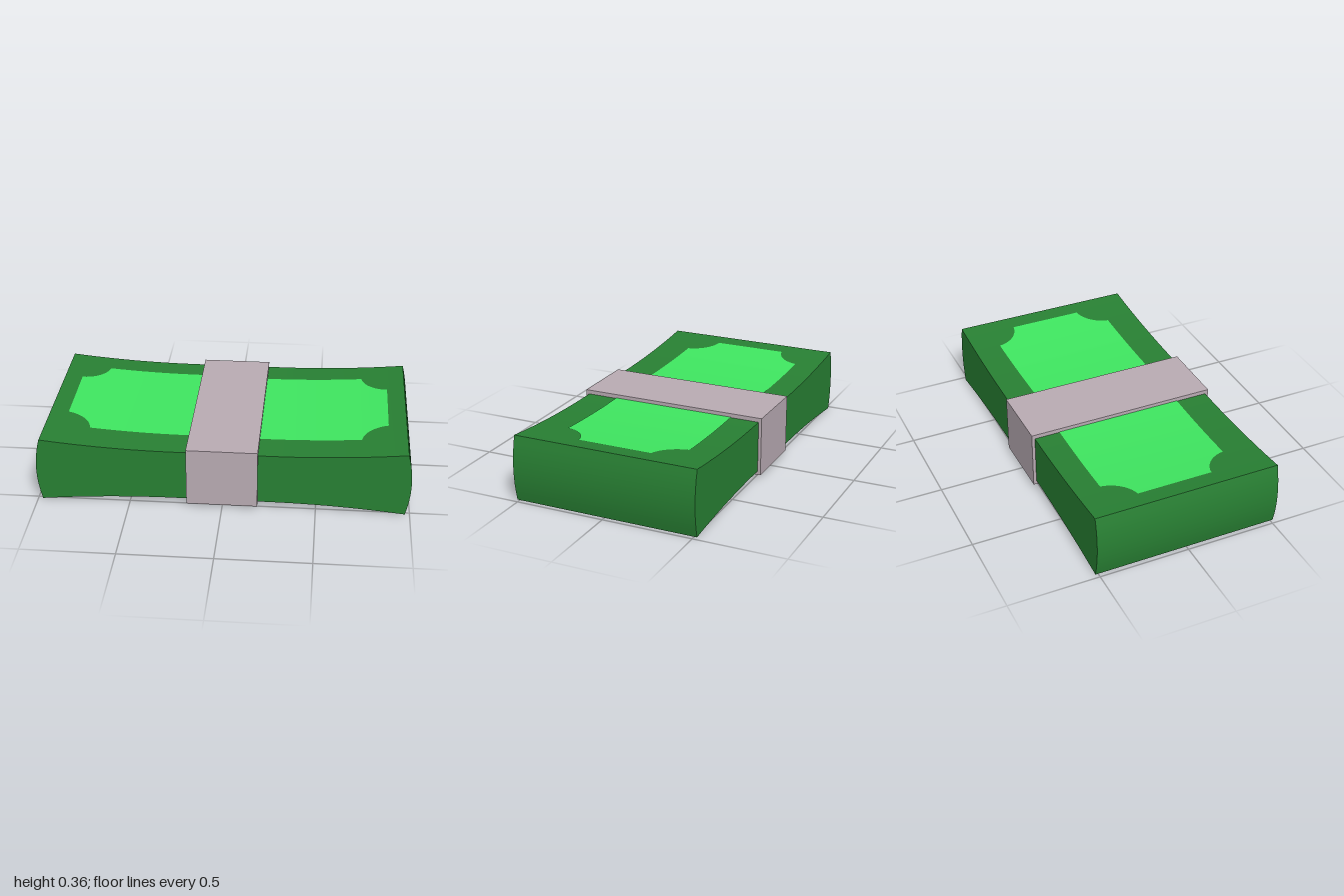
import * as THREE from 'three';
import { toCreasedNormals } from 'three/addons/utils/BufferGeometryUtils.js';

const MID = 0.184, END = 0.975, DEPTH = 1.03;

// Half the stack's thickness: level in the middle, flaring towards the ends
const halfHeight = (x) => 0.142 + 0.04 * Math.pow(Math.max(0, Math.abs(x) - 0.25) / (END - 0.25), 2);

export function createModel() {
  const darkGreen = new THREE.MeshStandardMaterial({ color: 0x288033 });
  const lightGreen = new THREE.MeshStandardMaterial({ color: 0x3fe660 });
  const bandGrey = new THREE.MeshStandardMaterial({ color: 0xb9abb3 });
  const group = new THREE.Group();
  const add = (name, geometry, material) => {
    const mesh = new THREE.Mesh(geometry, material);
    mesh.name = name;
    group.add(mesh);
    return mesh;
  };

  // Stack of notes: flared side profile with bulging ends
  const points = [];
  const N = 32, M = 8;
  for (const s of [1, -1]) {
    for (let i = 0; i <= N; i++) {
      const x = s * END * (1 - (2 * i) / N);
      points.push(new THREE.Vector2(x, MID + s * halfHeight(x)));
    }
    for (let i = 1; i < M; i++) {
      const t = 1 - (2 * i) / M;
      points.push(new THREE.Vector2(-s * (END + 0.025 * (1 - t * t)), MID + s * t * halfHeight(END)));
    }
  }
  const stack = new THREE.ExtrudeGeometry(new THREE.Shape(points), { depth: DEPTH, bevelEnabled: false });
  stack.translate(0, 0, -DEPTH / 2);
  add('noteStack', toCreasedNormals(stack, 0.5), darkGreen);

  // Printed panel halves: strips that follow the top, with scooped outer corners
  const panel = (side, outer, inner) => {
    const R = 0.17, SHIFT = 0.024, X = 0.877, rows = [];
    const start = Math.asin(SHIFT / R), sweep = Math.PI / 2 - 2 * start;
    for (let i = 0; i <= 10; i++) {
      const a = start + (i / 10) * sweep;
      rows.push([X + SHIFT - R * Math.sin(a), R * Math.cos(a) - SHIFT]);
    }
    const notchEnd = rows[10][0];
    for (let i = 1; i <= 12; i++) rows.push([notchEnd * (1 - i / 12), 0]);
    const position = [], index = [];
    rows.forEach(([x, inset], i) => {
      const k = Math.min(1, (X - x) / (X - 0.19));
      const back = THREE.MathUtils.lerp(outer[0], inner[0], k) + inset;
      const front = THREE.MathUtils.lerp(outer[1], inner[1], k) - inset;
      const y = MID + halfHeight(x) + 0.003;
      position.push(side * x, y, back, side * x, y, front);
      if (i === 0) return;
      const a = 2 * i - 2, b = a + 1, c = a + 2, d = a + 3;
      if (side > 0) index.push(a, c, b, b, c, d);
      else index.push(a, b, c, b, d, c);
    });
    const geometry = new THREE.BufferGeometry();
    geometry.setAttribute('position', new THREE.Float32BufferAttribute(position, 3));
    geometry.setIndex(index);
    geometry.computeVertexNormals();
    return geometry;
  };
  add('leftPanel', panel(1, [-0.365, 0.338], [-0.355, 0.342]), lightGreen);
  add('rightPanel', panel(-1, [-0.38, 0.326], [-0.373, 0.336]), lightGreen);

  // Paper band wrapped round the middle
  const band = add('paperBand', new THREE.BoxGeometry(0.38, 0.328, 1.064), bandGrey);
  band.position.set(-0.001, 0.185, 0);

  return group;
}
